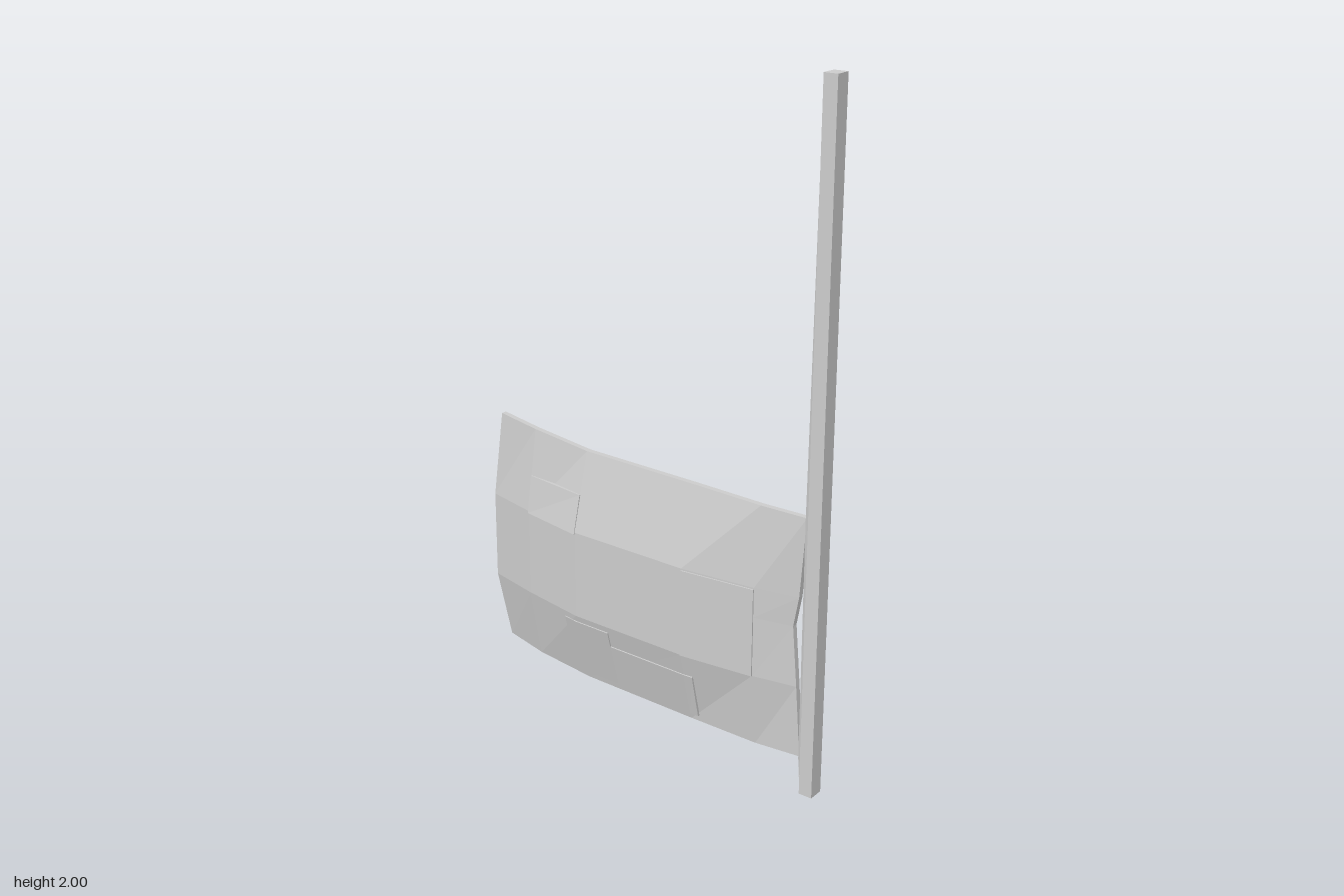
import * as THREE from 'three';

const MAT = new THREE.MeshStandardMaterial({ color: 0xcccccc, flatShading: true, side: THREE.DoubleSide });

// Cloth shape: columns along x, rows along y
const XS = [-0.6, -0.43, -0.22, 0.17, 0.4, 0.545];
const YS = [0.09, 0.32, 0.5, 0.59, 0.825];
const FRONT = [-0.016, 0.024, 0.062, 0.069, 0.047, 0.024]; // front of the flat middle band
const TOP_BEND = [0.02, 0.04, 0.062, 0.058, 0.025, 0.005]; // backward lean of the upper edge
const LOW_BEND = [0.036, 0.045, 0.062, 0.058, 0.025, 0.005]; // and of the lower edge
const LEFT_IN = [0.02, 0, 0, 0, 0.02]; // outline shifts
const RIGHT_IN = [0, -0.014, -0.03, -0.014, 0];
const TOP_UP = [0.027, 0.016, 0.001, 0, 0, 0];
const LOW_UP = [0.014, 0.007, 0, 0, 0.006, 0.014];

function lerpAt(table, x) {
  let i = 0;
  while (i < XS.length - 2 && x > XS[i + 1]) i++;
  return THREE.MathUtils.lerp(table[i], table[i + 1], (x - XS[i]) / (XS[i + 1] - XS[i]));
}

function clothZ(x, y) {
  const up = Math.max(0, (y - 0.59) / 0.235);
  const down = Math.max(0, (0.32 - y) / 0.23);
  return lerpAt(FRONT, x) - up * lerpAt(TOP_BEND, x) - down * lerpAt(LOW_BEND, x);
}

// Closed slab from a grid of front points, thickened backward
function slab(name, grid, thickness) {
  const rows = grid.length, cols = grid[0].length, n = rows * cols;
  const front = grid.flat();
  const pos = [...front.flat(), ...front.flatMap(([x, y, z]) => [x, y, z - thickness])];
  const index = [];
  const quad = (a, b, c, d) => index.push(a, b, c, a, c, d);
  for (let r = 0; r < rows - 1; r++) {
    for (let c = 0; c < cols - 1; c++) {
      const a = r * cols + c, b = a + 1, d = a + cols, e = d + 1;
      quad(a, b, e, d);
      quad(n + b, n + a, n + d, n + e);
    }
  }
  for (let c = 0; c < cols - 1; c++) {
    const t = (rows - 1) * cols + c;
    quad(c + 1, c, n + c, n + c + 1);
    quad(t, t + 1, n + t + 1, n + t);
  }
  for (let r = 0; r < rows - 1; r++) {
    const a = r * cols, b = a + cols - 1;
    quad(a, a + cols, n + a + cols, n + a);
    quad(b + cols, b, n + b, n + b + cols);
  }
  const geo = new THREE.BufferGeometry();
  geo.setAttribute('position', new THREE.Float32BufferAttribute(pos, 3));
  geo.setIndex(index);
  const flat = geo.toNonIndexed();
  flat.computeVertexNormals();
  const mesh = new THREE.Mesh(flat, MAT);
  mesh.name = name;
  return mesh;
}

// Slightly raised panel that follows the cloth
function panel(name, x0, x1, y0, y1) {
  const inside = (list, a, b) => [a, ...list.filter((v) => v > a + 0.005 && v < b - 0.005), b];
  const grid = inside(YS, y0, y1).map((y) =>
    inside(XS, x0, x1).map((x) => [x, y, clothZ(x, y) + 0.004]));
  return slab(name, grid, 0.024);
}

export function createModel() {
  const model = new THREE.Group();

  // Flag cloth with its curled outline
  const last = XS.length - 1, top = YS.length - 1;
  const cloth = YS.map((y, r) => XS.map((x, c) => [
    x + (c === 0 ? LEFT_IN[r] : c === last ? RIGHT_IN[r] : 0),
    y + (r === 0 ? LOW_UP[c] : r === top ? TOP_UP[c] : 0),
    clothZ(x, y),
  ]));
  model.add(slab('flagCloth', cloth, 0.017));

  // Stepped panels on the cloth
  model.add(panel('upperPanel', -0.43, -0.22, 0.585, 0.7));
  model.add(panel('lowerPanel', -0.27, -0.1, 0.11, 0.3));
  model.add(panel('lowerMiddlePanel', -0.1, 0.2, 0.11, 0.25));
  model.add(panel('hoistPanel', 0.17, 0.4, 0.32, 0.585));

  // Square pole
  const pole = new THREE.Mesh(new THREE.BoxGeometry(0.041, 2, 0.047), MAT);
  pole.name = 'pole';
  pole.position.set(0.5805, 1, 0.0155);
  model.add(pole);

  // Tapered ridge on the pole that holds the cloth
  const ridgeRows = [[0, 0.561, 0.022], [0.1, 0.545, 0.008], [0.825, 0.543, 0.008], [2, 0.561, 0.022]];
  const ridge = ridgeRows.map(([y, x, half]) => [
    [0.565, y, 0.0155 + 0.022], [x, y, 0.0155 + half], [x, y, 0.0155 - half], [0.565, y, 0.0155 - 0.022],
  ]);
  const ridgePos = ridge.flat(2), ridgeIndex = [];
  for (let r = 0; r < 3; r++) {
    for (let c = 0; c < 3; c++) {
      const a = r * 4 + c;
      ridgeIndex.push(a, a + 4, a + 5, a, a + 5, a + 1);
    }
  }
  const ridgeGeo = new THREE.BufferGeometry();
  ridgeGeo.setAttribute('position', new THREE.Float32BufferAttribute(ridgePos, 3));
  ridgeGeo.setIndex(ridgeIndex);
  ridgeGeo.computeVertexNormals();
  const ridgeMesh = new THREE.Mesh(ridgeGeo, MAT);
  ridgeMesh.name = 'poleRidge';
  model.add(ridgeMesh);

  return model;
}
